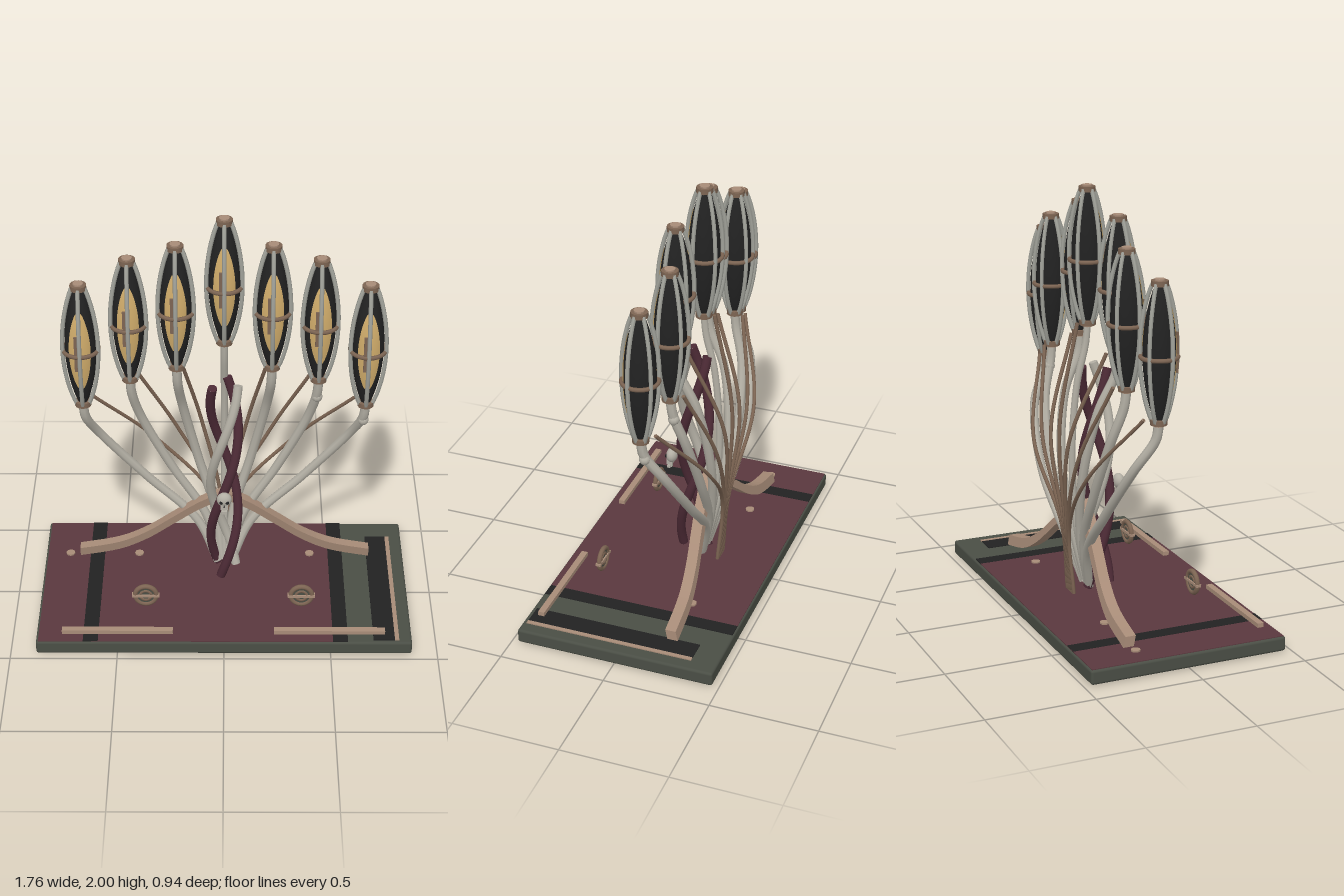
import * as THREE from 'three';
import { RoundedBoxGeometry } from 'three/addons/geometries/RoundedBoxGeometry.js';
import { ParametricGeometry } from 'three/addons/geometries/ParametricGeometry.js';

const mat = (name, color) => {
  const m = new THREE.MeshStandardMaterial({ color });
  m.name = name;
  return m;
};
const M = {
  slate: mat('slate', 0x4a4e45),
  maroon: mat('maroon', 0x5a383e),
  wine: mat('wine', 0x4c2a35),
  black: mat('black', 0x222222),
  ivory: mat('ivory', 0xb3afa4),
  steel: mat('steel', 0xa3a49c),
  tan: mat('tan', 0xa88c78),
  brown: mat('brown', 0x7d6553),
  gold: mat('gold', 0xcfab6a),
};
M.gold.side = THREE.DoubleSide;
const V = (x, y, z) => new THREE.Vector3(x, y, z);

function add(parent, name, geo, material, x = 0, y = 0, z = 0) {
  const mesh = new THREE.Mesh(geo, material);
  mesh.name = name;
  mesh.position.set(x, y, z);
  parent.add(mesh);
  return mesh;
}
const box = (parent, name, material, w, h, d, x, y, z) =>
  add(parent, name, new THREE.BoxGeometry(w, h, d), material, x, y, z);

// Round bar along a smooth path, with closed ends
function bar(parent, name, points, radius, material, segments = 32, sides = 8) {
  const curve = new THREE.CatmullRomCurve3(points);
  add(parent, name, new THREE.TubeGeometry(curve, segments, radius, sides), material);
  for (const t of [0, 1]) {
    const p = curve.getPointAt(t);
    const dir = curve.getTangentAt(t).multiplyScalar(t ? 1 : -1);
    const cap = add(parent, name + 'End', new THREE.CircleGeometry(radius, sides), material, p.x, p.y, p.z);
    cap.quaternion.setFromUnitVectors(V(0, 0, 1), dir);
  }
}

function buildBase(root) {
  const g = new THREE.Group();
  g.name = 'base';
  root.add(g);
  add(g, 'slab', new RoundedBoxGeometry(1.76, 0.068, 0.94, 2, 0.012), M.slate, 0, 0.039, 0);
  box(g, 'maroonTop', M.maroon, 1.38, 0.005, 0.925, -0.18, 0.073, 0);
  box(g, 'leftStrap', M.black, 0.07, 0.006, 0.925, 0.545, 0.0735, 0);
  box(g, 'rightStrap', M.black, 0.07, 0.006, 0.925, -0.625, 0.0745, 0);
  box(g, 'sidePad', M.black, 0.1, 0.006, 0.8, 0.75, 0.0735, 0.05);
  box(g, 'sideTrim', M.tan, 0.02, 0.008, 0.8, 0.81, 0.074, 0.05);
  for (const x of [-0.64, 0.68]) box(g, 'underStrap', M.black, 0.07, 0.008, 0.76, x, 0.004, 0.06);
  for (const x of [-0.76, -0.42, 0.42]) {
    add(g, 'stud', new THREE.CylinderGeometry(0.022, 0.022, 0.008, 8), M.tan, x, 0.079, -0.21);
  }
  for (const x of [-0.5, 0.495]) box(g, 'frontRail', M.tan, 0.52, 0.02, 0.03, x, 0.092, 0.405);
}

// Curved, leaning foot braces
function buildBraces(root) {
  const line = [[0, 0.5], [0.12, 0.43], [0.25, 0.325], [0.38, 0.22], [0.52, 0.145], [0.71, 0.1]];
  for (const s of [-1, 1]) {
    const side = (dy) => new THREE.SplineCurve(line.map(([x, y]) => new THREE.Vector2(s * x, y + dy))).getPoints(24);
    const shape = new THREE.Shape([...side(0.025), ...side(-0.025).reverse()]);
    const geo = new THREE.ExtrudeGeometry(shape, { depth: 0.05, bevelEnabled: false });
    const p = geo.attributes.position;
    for (let i = 0; i < p.count; i++) p.setZ(i, p.getZ(i) - 0.245 + (p.getY(i) - 0.08) * 0.2);
    geo.computeVertexNormals();
    add(root, s > 0 ? 'leftBrace' : 'rightBrace', geo, M.tan);
  }
}

// Ringed medallions standing at the front
function buildMedallions(root) {
  for (const x of [-0.37, 0.365]) {
    const g = new THREE.Group();
    g.name = 'medallion';
    g.position.set(x, 0.185, 0.255);
    root.add(g);
    add(g, 'rim', new THREE.TorusGeometry(0.05, 0.012, 8, 24), M.brown);
    add(g, 'innerRing', new THREE.TorusGeometry(0.026, 0.009, 8, 20), M.brown);
    const disc = add(g, 'disc', new THREE.CylinderGeometry(0.05, 0.05, 0.01, 24), M.slate);
    disc.rotation.x = Math.PI / 2;
    box(g, 'crossBar', M.tan, 0.13, 0.012, 0.024, 0, 0, 0);
  }
}

// Three strands twisting around a common axis
function buildTwist(root) {
  const strands = [['wineStrandA', 0.45, M.wine], ['wineStrandB', 0.9, M.wine], ['ivoryStrand', 1.2, M.ivory]];
  for (const [name, phase, material] of strands) {
    const pts = [];
    for (let i = 0; i <= 16; i++) {
      const y = 0.1 + (1.06 * i) / 16;
      const a = (2 * Math.PI * (y - phase)) / 1.2;
      pts.push(V(0.065 * Math.cos(a), y, -0.07 - 0.065 * Math.sin(a)));
    }
    bar(root, name, pts, 0.022, material, 48, 10);
  }
}

// Small skull ornament
function buildSkull(root) {
  const g = new THREE.Group();
  g.name = 'skull';
  g.position.set(0, 0.59, 0.045);
  root.add(g);
  add(g, 'cranium', new THREE.SphereGeometry(0.036, 16, 12), M.ivory).scale.set(1, 1, 0.75);
  box(g, 'upperJaw', M.ivory, 0.034, 0.03, 0.026, 0, -0.032, 0.008);
  box(g, 'lowerJaw', M.ivory, 0.024, 0.012, 0.016, 0, -0.064, 0.014);
  box(g, 'jawHinge', M.ivory, 0.014, 0.03, 0.01, 0, -0.052, 0.004);
  for (const s of [-1, 1]) {
    add(g, 'eye', new THREE.SphereGeometry(0.009, 8, 6), M.black, s * 0.014, -0.004, 0.022);
  }
  add(g, 'nose', new THREE.ConeGeometry(0.005, 0.012, 4), M.black, 0, -0.023, 0.023);
}

// Caged pod: dark core, golden front patch, ribs, belt and end caps
const HALF = 0.325;
const SPAN = 0.305;
const podRadius = (t) => 0.03 + 0.055 * Math.pow(Math.max(0, 1 - t * t), 0.9);
const coreRadius = (t) => podRadius(t) - 0.013;
function patchPoint(u, v, target) {
  const t = (v * 2 - 1) * 0.68;
  const phi = (u * 2 - 1) * 0.72 * Math.sqrt(Math.max(0, 1 - (t / 0.68) ** 2));
  const r = coreRadius(t) + 0.003;
  target.set(r * Math.sin(phi), t * SPAN, r * Math.cos(phi));
}
function buildPod(root, x, top, z) {
  const g = new THREE.Group();
  g.name = 'pod';
  g.position.set(x, top - HALF, z);
  root.add(g);
  const profile = [], rib = [];
  for (let i = 0; i <= 20; i++) {
    const t = i / 10 - 1;
    profile.push(new THREE.Vector2(coreRadius(t), t * SPAN));
    rib.push(V(0, t * SPAN, podRadius(t)));
  }
  add(g, 'core', new THREE.LatheGeometry(profile, 40), M.black);
  add(g, 'goldenFace', new ParametricGeometry(patchPoint, 12, 28), M.gold);
  const ribGeo = new THREE.TubeGeometry(new THREE.CatmullRomCurve3(rib), 24, 0.01, 6);
  for (let i = 0; i < 5; i++) {
    add(g, 'rib', ribGeo, M.steel).rotation.y = (i * 2 * Math.PI) / 5;
  }
  const belt = add(g, 'belt', new THREE.TorusGeometry(0.081, 0.01, 6, 24), M.brown, 0, -0.015, 0);
  belt.rotation.x = Math.PI / 2;
  box(g, 'crossPlate', M.brown, 0.028, 0.18, 0.008, -0.01, 0, 0.077);
  for (const s of [-1, 1]) {
    add(g, 'cap', new THREE.CylinderGeometry(0.038, 0.038, 0.024, 14), M.brown, 0, s * 0.306, 0);
    add(g, 'capKnob', new THREE.CylinderGeometry(0.024, 0.024, 0.014, 12), M.tan, 0, s * 0.318, 0);
  }
}

// Stem and thin wire rising to each pod
function buildBranch(root, x, bottom, z) {
  const at = (fx, fy, pz) => V(x * fx, bottom * fy, pz);
  bar(root, 'stem', [
    at(0.05, 0.1, -0.12), at(0.2, 0.3, -0.17), at(0.58, 0.54, -0.19),
    at(0.9, 0.8, -0.12 + z * 0.4), at(0.99, 0.94, z - 0.01), at(1, 1.01, z),
  ], x === 0 ? 0.017 : 0.022, M.ivory, 40);
  if (x > 0.3) add(root, 'stemCollar', new THREE.SphereGeometry(0.026, 10, 8), M.ivory, x * 0.99, bottom * 0.92, z - 0.015);
  bar(root, 'wire', [
    V(x * 0.06, 0.08, -0.2), V(x * 0.07, 0.4, -0.225), V(x * 0.5, 0.4 + (bottom - 0.4) * 0.52, -0.25),
    V(x * 0.93, bottom + 0.02, z - 0.05),
  ], 0.009, M.brown, 32, 6);
}

export function createModel() {
  const root = new THREE.Group();
  root.name = 'sculpture';
  buildBase(root);
  buildBraces(root);
  buildMedallions(root);
  buildTwist(root);
  buildSkull(root);
  for (let i = -3; i <= 3; i++) {
    const x = i * 0.217;
    const top = 2 - 0.1 * Math.abs(i);
    const z = i % 2 === 0 ? -0.11 : -0.055;
    buildPod(root, x, top, z);
    buildBranch(root, x, top - 2 * HALF, z);
  }
  return root;
}
